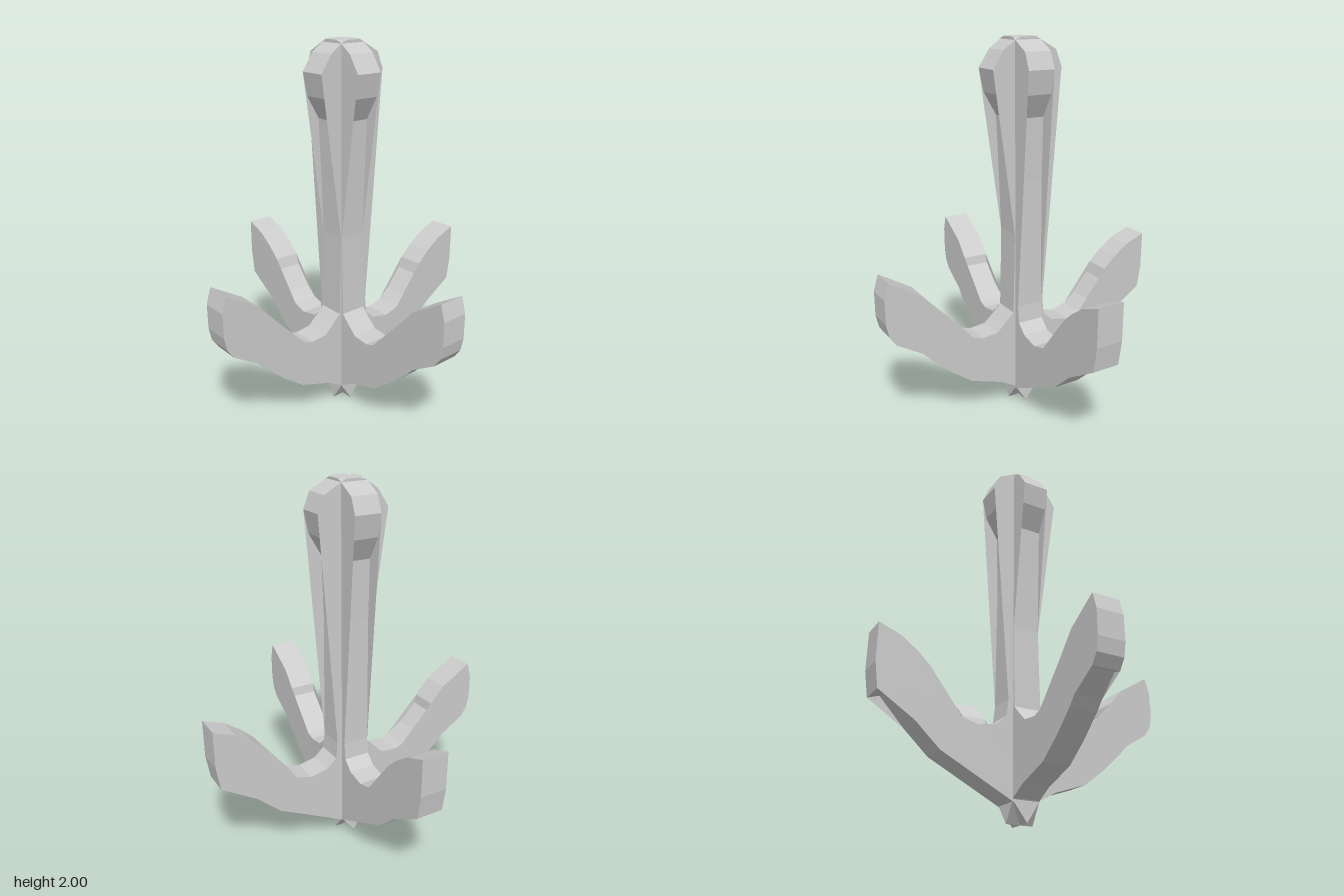
import * as THREE from 'three';

// Edge runs of one anchor plate, anticlockwise from the bottom tip.
// Each notch lists its floor; thin webs close the notch on both faces.
const lowerRight = [[0, 0], [0.07, 0.11], [0.16, 0.16], [0.34, 0.22], [0.46, 0.31], [0.57, 0.41], [0.61, 0.455]];
const notchLowerRight = [[0.71, 0.55]];
const tipRight = [[0.75, 0.54], [0.785, 0.59], [0.8, 0.66], [0.8, 0.79], [0.775, 0.875], [0.6, 0.77], [0.52, 0.68]];
const notchUpperRight = [[0.51, 0.63], [0.41, 0.53]];
const neckRight = [[0.32, 0.47], [0.27, 0.455], [0.18, 0.465], [0.13, 0.51], [0.08, 0.56], [0.075, 0.75], [0.07, 1.0]];
const notchShankRight = [[0.08, 1.28], [0.095, 1.61], [0.165, 1.73]];
const head = [[0.19, 1.85], [0.13, 1.94], [0.06, 1.99], [0.03, 2], [-0.05, 2], [-0.08, 1.985], [-0.17, 1.935], [-0.205, 1.85]];
const notchShankLeft = [[-0.18, 1.73], [-0.11, 1.61], [-0.1, 1.28]];
const neckLeft = [[-0.105, 0.6], [-0.115, 0.51], [-0.17, 0.46], [-0.27, 0.44], [-0.355, 0.465]];
const notchUpperLeft = [[-0.42, 0.52], [-0.51, 0.63]];
const tipLeft = [[-0.53, 0.69], [-0.6, 0.755], [-0.685, 0.815], [-0.8, 0.86], [-0.8, 0.66], [-0.78, 0.53]];
const notchLowerLeft = [[-0.72, 0.55]];
const lowerLeft = [[-0.59, 0.41], [-0.46, 0.29], [-0.07, 0.09]];

const plateOutline = [
  lowerRight, notchLowerRight, tipRight, notchUpperRight, neckRight, notchShankRight, head,
  notchShankLeft, neckLeft, notchUpperLeft, tipLeft, notchLowerLeft, lowerLeft,
].flat();

// A web spans from the last point before a notch to the first point after it
const webs = [
  [lowerRight, notchLowerRight, tipRight],
  [tipRight, notchUpperRight, neckRight],
  [neckRight, notchShankRight, head],
  [head, notchShankLeft, neckLeft],
  [neckLeft, notchUpperLeft, tipLeft],
  [tipLeft, notchLowerLeft, lowerLeft],
].map(([before, notch, after]) => [before.at(-1), ...notch, after[0]]);

const toShape = (points) => new THREE.Shape(points.map(([x, y]) => new THREE.Vector2(x, y)));

const material = new THREE.MeshStandardMaterial({ color: 0xcccccc, flatShading: true, side: THREE.DoubleSide });

function createPlate(name, back, front) {
  const plate = new THREE.Group();
  plate.name = name;

  // Solid shank, arms and head in one slab
  const slab = new THREE.ExtrudeGeometry(toShape(plateOutline), { depth: front - back, bevelEnabled: false });
  slab.translate(0, 0, back);
  const body = new THREE.Mesh(slab, material);
  body.name = name + 'Body';
  plate.add(body);

  // Thin webs over the notches on both faces
  for (const z of [back, front]) {
    const web = new THREE.Mesh(new THREE.ShapeGeometry(webs.map(toShape)), material);
    web.name = name + 'Web';
    web.position.z = z;
    plate.add(web);
  }
  return plate;
}

export function createModel() {
  const model = new THREE.Group();
  model.name = 'grapplingAnchor';

  // Two identical plates crossing at right angles
  const sidePlate = createPlate('sidewaysPlate', -0.078, 0.067);
  const lengthPlate = createPlate('lengthwisePlate', -0.067, 0.078);
  lengthPlate.rotation.y = -Math.PI / 2;
  model.add(sidePlate, lengthPlate);
  return model;
}
